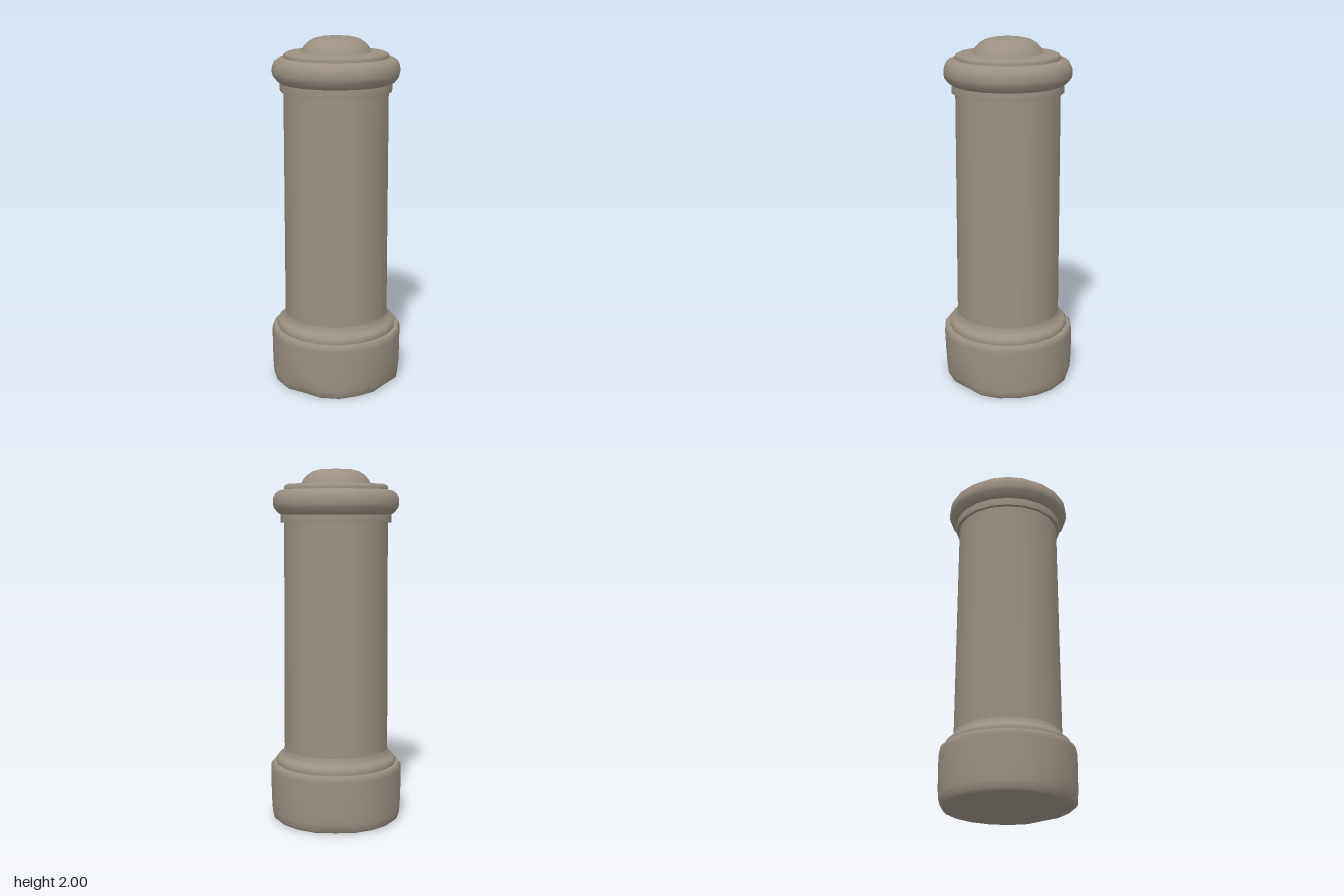
import * as THREE from 'three';
import { mergeVertices } from 'three/addons/utils/BufferGeometryUtils.js';

const SIDES = 20;

// Chips knocked out of the foot: angle from +z towards +x, angular width, depth, height
const CHIPS = [
  { angle: 0.05, width: 0.3, depth: 0.028, height: 0.09 },
  { angle: 0.97, width: 0.3, depth: 0.014, height: 0.32 },
  { angle: 1.5, width: 0.42, depth: 0.035, height: 0.16 },
  { angle: -2.5, width: 0.3, depth: 0.012, height: 0.06 },
];

function lathe(profile) {
  return new THREE.LatheGeometry(profile.map(([r, y]) => new THREE.Vector2(r, y)), SIDES);
}

// Pulls the outer vertices of the foot inwards around each chip
function chipped(profile) {
  let g = lathe(profile);
  g.deleteAttribute('uv');
  g.deleteAttribute('normal');
  g = mergeVertices(g, 1e-4);
  const p = g.attributes.position;
  for (let i = 0; i < p.count; i++) {
    const x = p.getX(i), y = p.getY(i), z = p.getZ(i);
    const r = Math.hypot(x, z);
    if (r < 0.33) continue;
    let inset = 0;
    for (const c of CHIPS) {
      const d = Math.atan2(x, z) - c.angle;
      const away = Math.abs(Math.atan2(Math.sin(d), Math.cos(d))) / c.width;
      inset += c.depth * Math.max(0, 1 - away) * Math.max(0, 1 - y / c.height);
    }
    const k = (r - inset) / r;
    p.setXYZ(i, x * k, y, z * k);
  }
  g.computeVertexNormals();
  return g;
}

export function createModel() {
  const model = new THREE.Group();
  model.name = 'stoneBollard';
  const stone = new THREE.MeshStandardMaterial({ color: 0x9a9083 });
  stone.name = 'weathered stone';

  const add = (name, geometry) => {
    const mesh = new THREE.Mesh(geometry, stone);
    mesh.name = name;
    model.add(mesh);
  };

  // Heavy foot with a worn lower edge
  add('footUnderside', chipped([[0, 0], [0.355, 0]]));
  add('foot', chipped([
    [0.355, 0], [0.37, 0.015], [0.374, 0.05], [0.376, 0.1], [0.378, 0.18],
    [0.378, 0.29], [0.376, 0.312], [0.366, 0.324],
  ]));
  add('footTop', lathe([[0.366, 0.324], [0.34, 0.326]]));

  // Rounded moulding where the shaft meets the foot
  add('footMoulding', lathe([
    [0.346, 0.325], [0.348, 0.345], [0.338, 0.36], [0.316, 0.374], [0.304, 0.39], [0.299, 0.41],
  ]));

  // Slightly tapered shaft
  add('shaft', lathe([[0.299, 0.41], [0.297, 0.8], [0.295, 1.25], [0.293, 1.705]]));

  // Narrow collar under the cap
  add('collarUnderside', lathe([[0.29, 1.704], [0.312, 1.704]]));
  add('collar', lathe([[0.312, 1.704], [0.314, 1.72], [0.312, 1.75]]));

  // Bulging cap ring
  add('capRing', lathe([
    [0.31, 1.748], [0.328, 1.758], [0.35, 1.785], [0.356, 1.81], [0.354, 1.84],
    [0.342, 1.866], [0.322, 1.882], [0.292, 1.888],
  ]));

  // Shallow step on top of the ring
  add('capStep', lathe([[0.293, 1.886], [0.293, 1.9], [0.288, 1.91], [0.275, 1.917], [0.19, 1.919]]));

  // Flattened dome
  add('dome', lathe([
    [0.197, 1.917], [0.183, 1.944], [0.16, 1.969], [0.13, 1.988], [0.09, 1.998], [0.045, 2], [0, 2],
  ]));

  return model;
}
